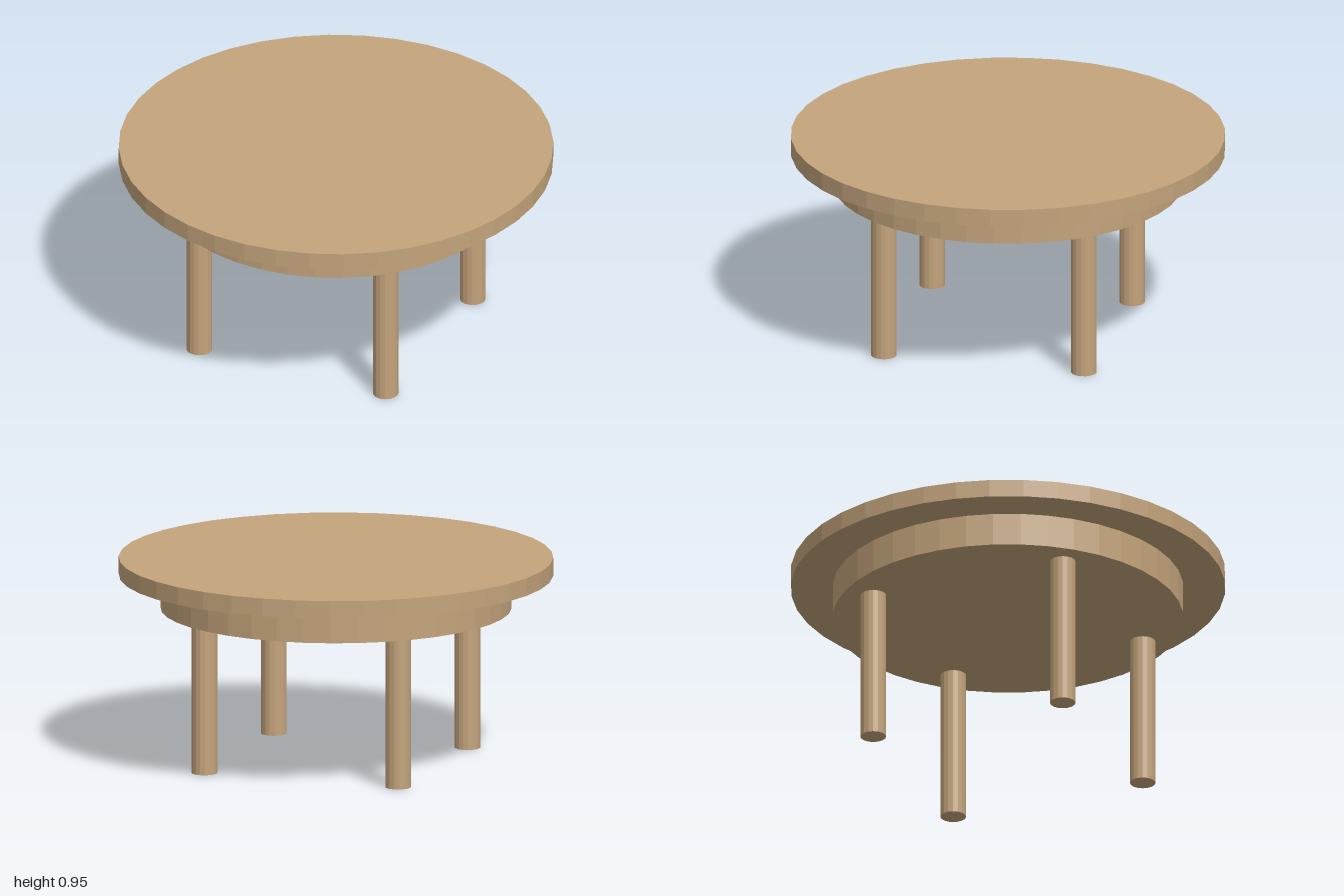
import * as THREE from 'three';

export function createModel() {
  const wood = new THREE.MeshStandardMaterial({ color: 0xc4a47c });
  wood.flatShading = true;
  const table = new THREE.Group();
  table.name = 'roundTable';

  // Upright cylinder spanning bottom..top
  const post = (name, radius, bottom, top, sides, x = 0, z = 0) => {
    const mesh = new THREE.Mesh(new THREE.CylinderGeometry(radius, radius, top - bottom, sides), wood);
    mesh.name = name;
    mesh.position.set(x, (bottom + top) / 2, z);
    table.add(mesh);
  };

  post('tableTop', 1, 0.872, 0.955, 40);
  post('apron', 0.808, 0.717, 0.872, 40);

  // Four legs on a square
  for (const [side, x] of [['Left', 0.473], ['Right', -0.473]]) {
    for (const [end, z] of [['front', 0.473], ['back', -0.473]]) {
      post(`${end}${side}Leg`, 0.059, 0, 0.717, 16, x, z);
    }
  }
  return table;
}
